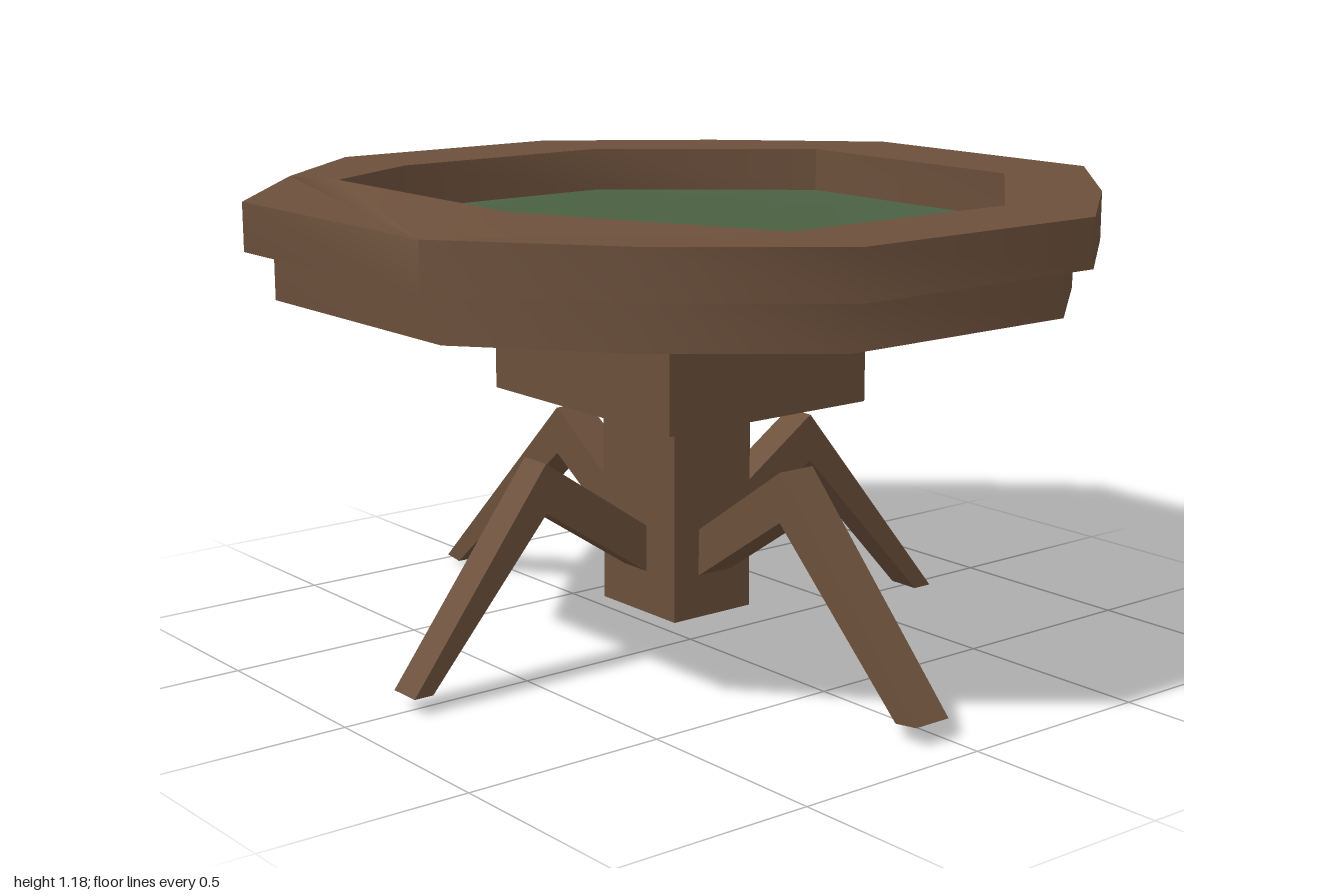
import * as THREE from 'three';
import { toCreasedNormals } from 'three/addons/utils/BufferGeometryUtils.js';

const wood = new THREE.MeshStandardMaterial({ color: 0x6b4f3b });
wood.name = 'brown wood';
const felt = new THREE.MeshStandardMaterial({ color: 0x4a6042 });
felt.name = 'green felt';

// Plan outlines as [x, z]
const OUTER = [[-0.36, 1], [0.32, 1], [0.66, 0.72], [1, 0.36], [1, -0.38], [0.66, -0.72],
  [0.28, -1], [-0.36, -1], [-0.68, -0.73], [-1, -0.38], [-1, 0.36], [-0.71, 0.72]];
const INNER = [[-0.34, 0.75], [0.3, 0.75], [0.73, 0.34], [0.73, -0.36],
  [0.27, -0.74], [-0.34, -0.74], [-0.76, -0.36], [-0.76, 0.34]];

const points = (list, s = 1) => list.map(([x, z]) => new THREE.Vector2(x * s, -z * s));

// Lift the two warped corners on the -x side of the inner outline
function liftCorners(geo, minY, amount) {
  const p = geo.attributes.position;
  for (let i = 0; i < p.count; i++) {
    const warped = Math.abs(p.getX(i) + 0.76) < 0.01 && Math.abs(Math.abs(p.getZ(i)) - 0.35) < 0.02;
    if (warped && p.getY(i) > minY) p.setY(i, p.getY(i) + amount);
  }
  geo.computeVertexNormals();
  return geo;
}

// Turn a plan shape into an upright slab
function slab(shape, y0, y1) {
  const geo = new THREE.ExtrudeGeometry(shape, { depth: y1 - y0, bevelEnabled: false });
  return geo.rotateX(-Math.PI / 2).translate(0, y0, 0);
}

export function createModel() {
  const group = new THREE.Group();
  const add = (name, geo, mat = wood) => {
    const mesh = new THREE.Mesh(geo, mat);
    mesh.name = name;
    group.add(mesh);
  };
  const box = (name, x0, x1, y0, y1, z0, z1) => add(name,
    new THREE.BoxGeometry(x1 - x0, y1 - y0, z1 - z0)
      .translate((x0 + x1) / 2, (y0 + y1) / 2, (z0 + z1) / 2));

  // Raised rim around the playing surface
  const rimShape = new THREE.Shape(points(OUTER));
  rimShape.holes.push(new THREE.Path(points(INNER)));
  add('rim', toCreasedNormals(liftCorners(slab(rimShape, 1.04, 1.155), 1.1, 0.033), 0.85));

  // Sunken felt
  const feltGeo = new THREE.ShapeGeometry(new THREE.Shape(points(INNER)));
  feltGeo.rotateX(-Math.PI / 2).translate(0, 1.044, 0);
  add('feltSurface', liftCorners(feltGeo, 1, 0.02), felt);

  // Drum, block and column below
  add('drum', toCreasedNormals(slab(new THREE.Shape(points(OUTER, 0.937)), 0.925, 1.04), 0.75));
  box('upperBlock', -0.335, 0.265, 0.64, 0.925, -0.35, 0.34);
  box('column', -0.17, 0.065, 0.12, 0.64, -0.13, 0.15);

  // Bent legs: hub, knee and foot positions along the leg's own axis
  const legs = [
    ['leftLeg', 0.065, 0.36, [0.8, 0.005], [0.745, 0.005], false],
    ['rightLeg', -0.17, -0.465, [-0.84, 0.045], [-0.79, 0.045], false],
    ['frontLeg', 0.15, 0.445, [0.905, 0.053], [0.84, 0.045], true],
    ['backLeg', -0.13, -0.43, [-0.96, 0.027], [-0.905, 0.02], true],
  ];
  for (const [name, hub, knee, footOut, footIn, alongZ] of legs) {
    const outline = [[hub, 0.34], [knee, 0.54], footOut, footIn, [knee, 0.42], [hub, 0.225]];
    const shape = new THREE.Shape(outline.map(([r, y]) => new THREE.Vector2(r, y)));
    const geo = new THREE.ExtrudeGeometry(shape, { depth: alongZ ? 0.1 : 0.087, bevelEnabled: false });
    if (alongZ) geo.rotateY(-Math.PI / 2).translate(0.005, 0, 0);
    else geo.translate(0, 0, -0.046);
    add(name, geo);
  }
  return group;
}
